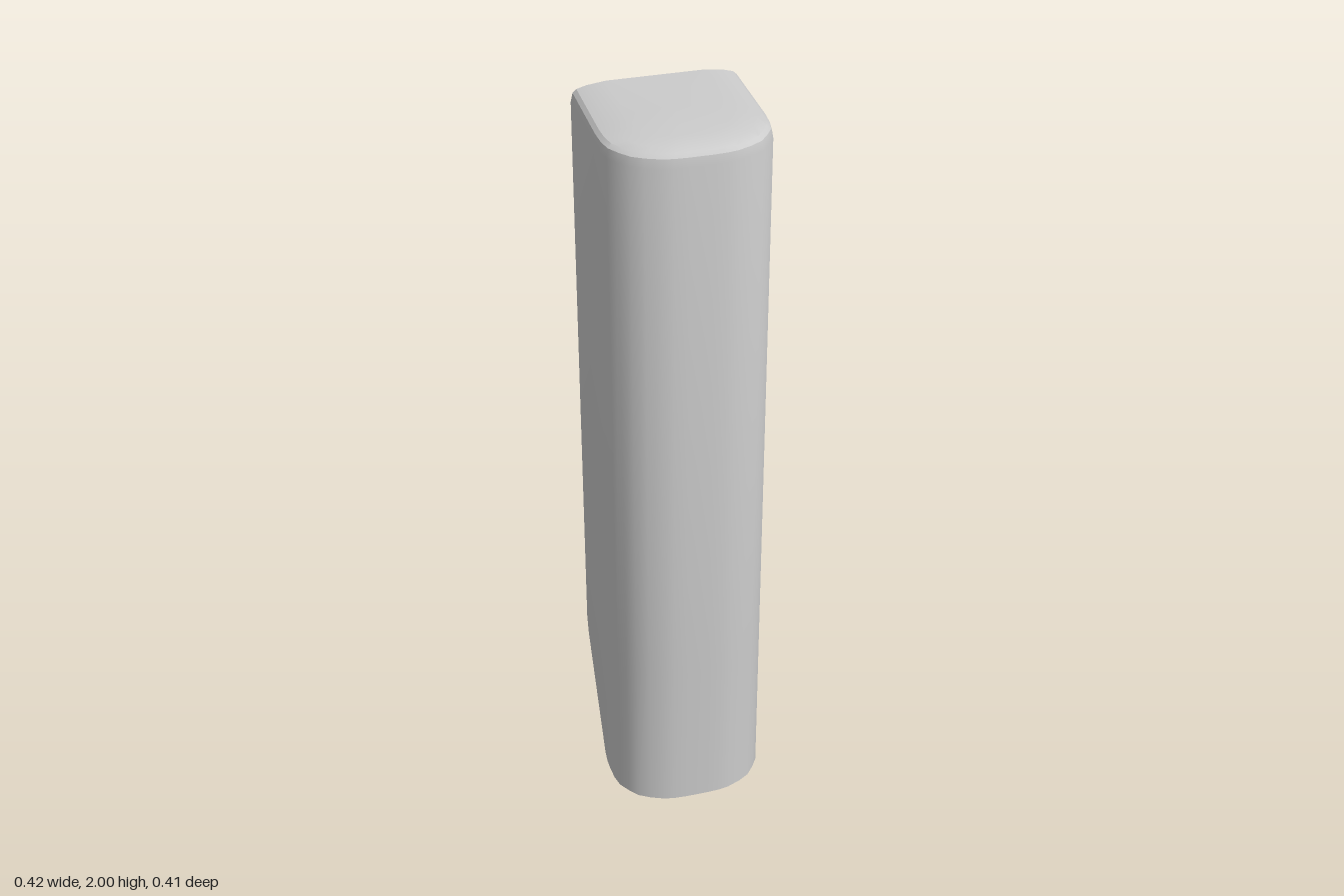
import * as THREE from 'three';
import { toCreasedNormals } from 'three/addons/utils/BufferGeometryUtils.js';

const BACK = -0.206; // flat rear plane
const SLOPE = 0.577; // rearward lean of the foot, z per unit of height

// Half outline of the foot [x, z], from front centre to back centre
const FRONT = [[0.03, 0.206], [0.065, 0.204], [0.093, 0.199], [0.13, 0.184], [0.16, 0.166],
  [0.182, 0.139], [0.2, 0.111], [0.208, 0.077], [0.211, 0.03]];
const REAR = [[0.211, 0.005], [0.208, -0.03], [0.2, -0.058], [0.182, -0.08], [0.16, -0.1],
  [0.13, -0.115], [0.093, -0.125], [0.04, -0.13]];

// Closed ring: place each half-outline point, then mirror it across x
function ring(place) {
  const half = [
    ...FRONT.map(([x, z]) => place(x, z, false)),
    ...REAR.map(([x, z]) => place(x, z, true)),
  ];
  return [...half, ...half.map(([x, y, z]) => [-x, y, z]).reverse()];
}

// Skin the rings and close both ends
function loft(rings) {
  const pos = [];
  const n = rings[0].length;
  const tri = (...pts) => pts.forEach((p) => pos.push(...p));
  for (let i = 0; i < rings.length - 1; i++) {
    for (let j = 0; j < n; j++) {
      const k = (j + 1) % n;
      const [a, b, c, d] = [rings[i][j], rings[i][k], rings[i + 1][k], rings[i + 1][j]];
      tri(a, b, c);
      tri(a, c, d);
    }
  }
  const bottom = rings[0];
  const top = rings[rings.length - 1];
  const foot = [0, bottom[0][1], 0.03];
  const crown = [0, top[0][1], -0.03];
  for (let j = 0; j < n; j++) {
    const k = (j + 1) % n;
    tri(foot, bottom[k], bottom[j]);
    tri(crown, top[j], top[k]);
  }
  const geometry = new THREE.BufferGeometry();
  geometry.setAttribute('position', new THREE.Float32BufferAttribute(pos, 3));
  return toCreasedNormals(geometry, 0.45);
}

export function createModel() {
  const group = new THREE.Group();
  group.name = 'post';

  // Rounded foot, then the line where its leaning back meets the flat rear
  const rings = [
    ring((x, z) => [x, 0, z]),
    ring((x, z, rear) => (rear ? [x, (z - BACK) / SLOPE, BACK] : [x, 0.45, z])),
  ];

  // Straight shaft and softened crown: [height, width scale, depth scale]
  const crown = [[1.955, 1, 1], [1.978, 0.975, 0.99], [1.987, 0.93, 0.97],
    [1.994, 0.81, 0.93], [2, 0.58, 0.82]];
  for (const [y, sx, sz] of crown) {
    rings.push(ring((x, z, rear) => [x * sx, y, rear ? BACK : BACK + (z - BACK) * sz]));
  }

  const shaft = new THREE.Mesh(loft(rings), new THREE.MeshStandardMaterial({ color: 0xcccccc }));
  shaft.name = 'shaft';
  group.add(shaft);
  return group;
}
